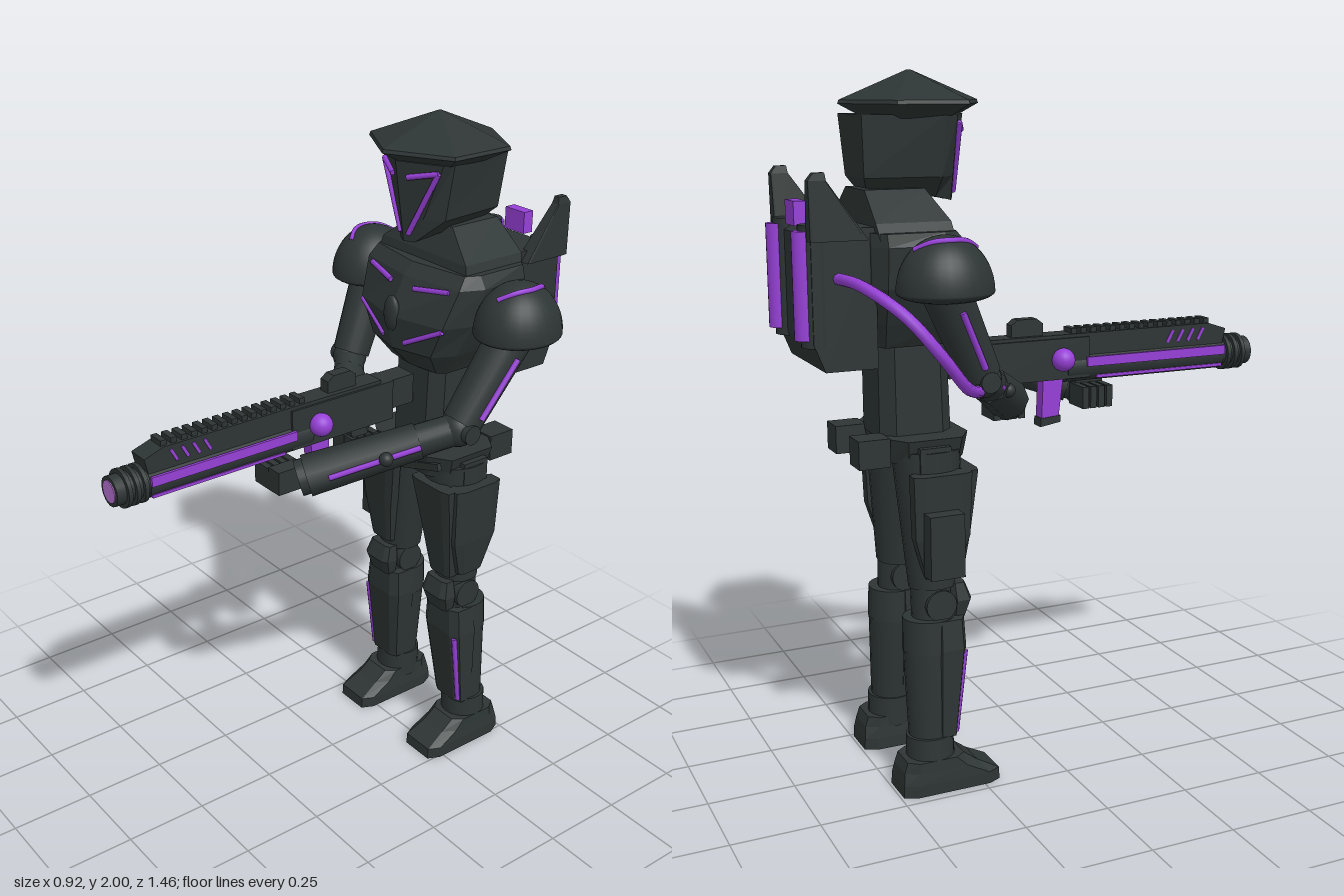
import * as THREE from 'three';

const mat = (name, color) => Object.assign(new THREE.MeshStandardMaterial({ color }), { name });
const V = (p) => new THREE.Vector3(...p);

// Flat-shaded skin over stacked rings, listed bottom to top, closed at both ends
function loft(rings) {
  const pos = [], n = rings[0].length;
  const tri = (...t) => t.forEach((p) => pos.push(...p));
  for (let r = 0; r < rings.length - 1; r++) {
    const a = rings[r], b = rings[r + 1];
    for (let i = 0; i < n; i++) {
      const j = (i + 1) % n;
      tri(a[i], a[j], b[j]);
      tri(a[i], b[j], b[i]);
    }
  }
  const lo = rings[0], hi = rings[rings.length - 1];
  for (let i = 1; i < n - 1; i++) {
    tri(lo[0], lo[i + 1], lo[i]);
    tri(hi[0], hi[i], hi[i + 1]);
  }
  const g = new THREE.BufferGeometry();
  g.setAttribute('position', new THREE.Float32BufferAttribute(pos, 3));
  g.computeVertexNormals();
  return g;
}

// Mirrored ring from [x, z, rise] points running front to back
function sym(y, half) {
  const right = half.map(([x, z, rise = 0]) => [x, y + rise, z]);
  const left = right.filter(([x]) => x > 0).reverse().map(([x, h, z]) => [-x, h, z]);
  return [...right, ...left];
}

// Chamfered rectangular ring
function oct(x, y, z, w, d, c = 0.35) {
  const a = w * (1 - c), b = d * (1 - c);
  return [[-a, d], [a, d], [w, b], [w, -b], [a, -d], [-a, -d], [-w, -b], [-w, b]]
    .map(([u, v]) => [x + u, y, z + v]);
}

// Side profile of [z, y] points, extruded across x
function sideProfile(points, width) {
  const g = new THREE.ExtrudeGeometry(new THREE.Shape(points.map((p) => new THREE.Vector2(...p))),
    { depth: width, bevelEnabled: false });
  return g.rotateY(-Math.PI / 2).translate(width / 2, 0, 0);
}

export function createModel() {
  const armour = mat('charcoalArmour', 0x2d3534);
  const glow = mat('purpleGlow', 0x9640d6);
  const lens = mat('paleMuzzleLens', 0xb472d0);
  const model = new THREE.Group();
  const group = (name, x = 0) => {
    const g = new THREE.Group();
    g.name = name;
    g.position.x = x;
    model.add(g);
    return g;
  };
  const add = (to, name, geo, m = armour, p = [0, 0, 0]) => {
    const mesh = new THREE.Mesh(geo, m);
    mesh.name = name;
    mesh.position.set(...p);
    to.add(mesh);
    return mesh;
  };
  const box = (to, name, size, p, m = armour) => add(to, name, new THREE.BoxGeometry(...size), m, p);
  // Cylinder between two points, r0 at a and r1 at b
  const rod = (to, name, a, b, r0, r1 = r0, m = armour, sides = 20) => {
    const A = V(a), B = V(b), d = B.clone().sub(A);
    const mesh = add(to, name, new THREE.CylinderGeometry(r1, r0, d.length(), sides), m,
      A.clone().add(B).multiplyScalar(0.5).toArray());
    mesh.quaternion.setFromUnitVectors(new THREE.Vector3(0, 1, 0), d.normalize());
    return mesh;
  };
  const line = (to, name, a, b, r = 0.008) => rod(to, name, a, b, r, r, glow, 6);
  const tube = (to, name, pts, r) => add(to, name,
    new THREE.TubeGeometry(new THREE.CatmullRomCurve3(pts.map(V)), 32, r, 8), glow);
  const ball = (to, name, p, r, m = armour) => add(to, name, new THREE.SphereGeometry(r, 20, 14), m, p);

  // Head: six-sided hat over a helmet with a ridged face
  const body = group('body', 0.017);
  const hex = (y, r) => Array.from({ length: 6 }, (_, i) => {
    const t = (i * Math.PI) / 3;
    return [Math.sin(t) * r * 1.05, y, -0.355 + Math.cos(t) * r];
  });
  add(body, 'hat', loft([hex(1.875, 0.13), hex(1.912, 0.202), hex(1.922, 0.198), hex(2, 0.006)]));
  add(body, 'helmet', loft([
    sym(1.652, [[0, -0.235], [0.03, -0.25], [0.045, -0.3, 0.012], [0.05, -0.5, 0.04]]),
    sym(1.72, [[0, -0.225], [0.058, -0.254], [0.1, -0.3], [0.08, -0.515]]),
    sym(1.885, [[0, -0.2], [0.125, -0.265], [0.132, -0.3], [0.1, -0.525]]),
  ]));

  // Torso
  add(body, 'collar', loft([
    sym(1.55, [[0.2, -0.3], [0.2, -0.51]]),
    sym(1.61, [[0.18, -0.31], [0.18, -0.52]]),
    sym(1.69, [[0.08, -0.345], [0.08, -0.515]]),
  ]));
  add(body, 'chest', loft([
    sym(1.27, [[0, -0.27], [0.1, -0.285], [0.12, -0.31], [0.12, -0.48], [0.08, -0.5]]),
    sym(1.34, [[0, -0.2], [0.13, -0.235], [0.165, -0.3], [0.16, -0.49], [0.12, -0.52]]),
    sym(1.44, [[0, -0.185], [0.18, -0.232], [0.212, -0.32], [0.21, -0.5], [0.17, -0.53]]),
    sym(1.55, [[0, -0.24], [0.2, -0.272], [0.232, -0.34], [0.22, -0.5], [0.17, -0.53]]),
    sym(1.585, [[0, -0.27], [0.19, -0.3], [0.21, -0.34], [0.21, -0.5], [0.16, -0.53]]),
  ]));
  const badge = ball(body, 'chestBoss', [0, 1.445, -0.198], 0.03);
  badge.scale.set(1, 1.8, 0.6);
  add(body, 'waist', loft([oct(0, 1.01, -0.38, 0.105, 0.105), oct(0, 1.29, -0.385, 0.105, 0.1)]));
  add(body, 'belt', loft([oct(0, 0.95, -0.365, 0.165, 0.11), oct(0, 1.02, -0.365, 0.185, 0.12)]));
  add(body, 'crotch', loft([oct(0, 0.935, -0.38, 0.03, 0.07), oct(0, 0.97, -0.38, 0.08, 0.1)]));
  box(body, 'slantedStrap', [0.2, 0.022, 0.014], [0.075, 0.975, -0.249]).rotation.z = 0.3;

  // Backpack with horns, canisters and hose
  add(body, 'backpack', sideProfile([[-0.515, 1.225], [-0.66, 1.225], [-0.69, 1.3], [-0.69, 1.58],
    [-0.66, 1.6], [-0.515, 1.6]], 0.32));
  box(body, 'packLamp', [0.08, 0.065, 0.035], [0, 1.632, -0.68], glow);

  for (const s of [-1, 1]) {
    // Face, chest and pack details
    line(body, 'visorEdge', [s * 0.115, 1.862, -0.256], [s * 0.016, 1.675, -0.238]);
    line(body, 'visorBrow', [s * 0.115, 1.862, -0.256], [s * 0.03, 1.842, -0.217]);
    line(body, 'upperChestLine', [s * 0.05, 1.525, -0.234], [s * 0.17, 1.54, -0.262]);
    line(body, 'lowerChestLine', [s * 0.045, 1.365, -0.208], [s * 0.178, 1.432, -0.233]);
    add(body, 'horn', loft([oct(s * 0.163, 1.57, -0.62, 0.025, 0.078, 0.1),
      oct(s * 0.172, 1.725, -0.676, 0.014, 0.024, 0.1), oct(s * 0.173, 1.745, -0.67, 0.01, 0.015, 0.1)]));
    rod(body, 'canister', [s * 0.12, 1.29, -0.67], [s * 0.12, 1.61, -0.67], 0.042);
    rod(body, 'canisterGlow', [s * 0.122, 1.31, -0.702], [s * 0.122, 1.595, -0.702], 0.028, 0.028, glow);

    // Shoulder domes
    const sh = [s * 0.32, 1.445, -0.385];
    add(body, 'shoulderDome', new THREE.SphereGeometry(1, 28, 12, 0, Math.PI * 2, 0, Math.PI / 2)
      .scale(0.118, 0.145, 0.13), armour, sh);
    add(body, 'shoulderUnderside', new THREE.SphereGeometry(1, 28, 8, 0, Math.PI * 2, Math.PI / 2, Math.PI / 2)
      .scale(0.118, 0.03, 0.13), armour, sh);
    tube(body, 'shoulderLine', [-0.085, -0.045, 0, 0.045, 0.085].map((z) => {
      const x = 0.045 - 6 * z * z;
      const y = 0.145 * Math.sqrt(1 - (x / 0.118) ** 2 - (z / 0.13) ** 2);
      return [sh[0] + s * x, sh[1] + y, sh[2] + z];
    }), 0.008);

    // Leg: round limbs under faceted plates
    rod(body, 'thigh', [s * 0.135, 0.59, -0.365], [s * 0.108, 0.98, -0.365], 0.066, 0.098);
    add(body, 'thighSidePlate', loft([oct(s * 0.19, 0.63, -0.36, 0.02, 0.045),
      oct(s * 0.2, 0.75, -0.36, 0.028, 0.08), oct(s * 0.205, 0.93, -0.36, 0.03, 0.085)]));
    add(body, 'thighFrontPlate', loft([oct(s * 0.142, 0.62, -0.305, 0.045, 0.02),
      oct(s * 0.14, 0.75, -0.288, 0.062, 0.022), oct(s * 0.128, 0.93, -0.267, 0.085, 0.022)]));
    rod(body, 'kneeSleeve', [s * 0.142, 0.48, -0.37], [s * 0.137, 0.62, -0.37], 0.057);
    rod(body, 'kneeJoint', [s * 0.077, 0.545, -0.36], [s * 0.2, 0.545, -0.36], 0.045);
    add(body, 'kneePad', loft([oct(s * 0.14, 0.5, -0.3, 0.045, 0.02),
      oct(s * 0.14, 0.55, -0.292, 0.055, 0.03), oct(s * 0.138, 0.6, -0.3, 0.045, 0.02)]));
    rod(body, 'calf', [s * 0.162, 0.15, -0.388], [s * 0.147, 0.42, -0.38], 0.061, 0.075);
    rod(body, 'calfCuff', [s * 0.147, 0.41, -0.38], [s * 0.145, 0.505, -0.38], 0.077, 0.074);
    add(body, 'shinPlate', loft([oct(s * 0.162, 0.16, -0.352, 0.06, 0.032),
      oct(s * 0.148, 0.42, -0.338, 0.08, 0.049), oct(s * 0.145, 0.505, -0.338, 0.073, 0.046)]));
    line(body, 'shinLine', [s * 0.211, 0.17, -0.327], [s * 0.213, 0.41, -0.298], 0.009);
    rod(body, 'ankle', [s * 0.167, 0.07, -0.39], [s * 0.164, 0.16, -0.39], 0.07, 0.068);
    add(body, 'boot', loft([oct(s * 0.17, 0, -0.345, 0.07, 0.147, 0.25), oct(s * 0.17, 0.035, -0.345, 0.07, 0.145, 0.25),
      oct(s * 0.17, 0.07, -0.375, 0.067, 0.11), oct(s * 0.17, 0.1, -0.39, 0.065, 0.085)]));
    box(body, 'rearPouch', [0.08, 0.08, 0.09], [s * 0.1, 0.985, -0.525]);
    box(body, 'hipPouch', [0.035, 0.08, 0.09], [s * 0.18, 0.96, -0.37]);
  }
  box(body, 'holster', [0.055, 0.18, 0.1], [-0.25, 0.74, -0.37]);
  tube(body, 'hose', [[-0.13, 1.47, -0.62], [-0.32, 1.465, -0.6], [-0.43, 1.4, -0.53], [-0.462, 1.3, -0.45],
    [-0.42, 1.21, -0.37], [-0.33, 1.175, -0.3], [-0.23, 1.16, -0.24]], 0.016);

  // Arms: elbow and wrist differ on each side
  const arms = [
    { name: 'leftArm', s: 1, shoulder: [0.335, 1.46, -0.38], elbow: [0.325, 1.2, -0.19], wrist: [0.105, 1.075, 0.2] },
    { name: 'rightArm', s: -1, shoulder: [-0.3, 1.46, -0.39], elbow: [-0.27, 1.2, -0.27], wrist: [-0.07, 1.085, -0.1] },
  ];
  for (const { name, s, shoulder, elbow, wrist } of arms) {
    const arm = group(name);
    const mix = (a, b, t, dx = 0, dy = 0) => {
      const p = V(a).lerp(V(b), t);
      return [p.x + dx, p.y + dy, p.z];
    };
    rod(arm, 'upperArm', shoulder, mix(shoulder, elbow, 0.95), 0.066, 0.056);
    ball(arm, 'elbow', elbow, 0.052);
    rod(arm, 'elbowCap', elbow, mix(elbow, elbow, 0, s * 0.062), 0.028);
    rod(arm, 'forearm', elbow, wrist, 0.045, 0.052);
    rod(arm, 'forearmGuard', mix(elbow, wrist, 0.25), mix(elbow, wrist, 0.95), 0.052, 0.06, armour, 8);
    line(arm, 'upperArmLine', mix(shoulder, elbow, 0.25, s * 0.066), mix(shoulder, elbow, 0.85, s * 0.06), 0.009);
    line(arm, 'forearmLine', mix(elbow, wrist, 0.32, s * 0.06, 0.012), mix(elbow, wrist, 0.9, s * 0.068, 0.012));
    ball(arm, 'forearmKnob', mix(elbow, wrist, 0.55, s * 0.07, 0.016), 0.02);
    box(arm, 'palm', [0.05, 0.07, 0.09], [wrist[0] - s * 0.04, 1.065, wrist[2] + 0.01]);
    for (let i = 0; i < 4; i++) {
      box(arm, 'finger', [0.09, 0.065, 0.02], [s * 0.015, 1.06, wrist[2] - 0.035 + i * 0.026]);
    }
  }

  // Rifle
  const gun = group('rifle');
  box(gun, 'receiver', [0.08, 0.12, 0.36], [0, 1.185, -0.01]);
  box(gun, 'stock', [0.07, 0.09, 0.1], [0, 1.2, -0.22]);
  rod(gun, 'barrel', [0, 1.155, 0.1], [0, 1.155, 0.63], 0.046);
  add(gun, 'topShroud', sideProfile([[-0.15, 1.19], [0.63, 1.19], [0.64, 1.235], [0.58, 1.255], [-0.15, 1.255]], 0.066));
  for (let i = 0; i < 15; i++) box(gun, 'railRib', [0.05, 0.02, 0.018], [0, 1.26, 0.575 - i * 0.032]);
  add(gun, 'carryHandle', sideProfile([[-0.07, 1.25], [0.03, 1.25], [0.03, 1.29], [0.01, 1.305], [-0.05, 1.305],
    [-0.07, 1.29]], 0.035));
  rod(gun, 'muzzle', [0, 1.157, 0.62], [0, 1.157, 0.73], 0.043);
  for (const z of [0.64, 0.665, 0.69]) rod(gun, 'muzzleRing', [0, 1.157, z], [0, 1.157, z + 0.012], 0.055);
  rod(gun, 'muzzleLens', [0, 1.157, 0.726], [0, 1.157, 0.733], 0.032, 0.032, lens);
  for (const s of [-1, 1]) {
    box(gun, 'barrelGlow', [0.009, 0.028, 0.47], [s * 0.046, 1.172, 0.395], glow);
    box(gun, 'lowerBarrelGlow', [0.009, 0.009, 0.43], [s * 0.037, 1.125, 0.41], glow);
    ball(gun, 'powerCell', [s * 0.052, 1.185, 0.08], 0.034, glow);
    for (let i = 0; i < 4; i++) {
      box(gun, 'slantedVent', [0.006, 0.04, 0.009], [s * 0.033, 1.225, 0.55 - i * 0.035], glow).rotation.x = 0.5;
    }
  }
  add(gun, 'magazine', sideProfile([[0.025, 1.005], [0.08, 1.01], [0.095, 1.13], [0.03, 1.13]], 0.04), glow);
  add(gun, 'magazineGuard', sideProfile([[0.02, 0.985], [0.085, 0.995], [0.085, 1.015], [0.022, 1.01]], 0.046));
  add(gun, 'pistolGrip', sideProfile([[-0.13, 1.04], [-0.08, 1.03], [-0.04, 1.14], [-0.1, 1.14]], 0.04));
  return model;
}
